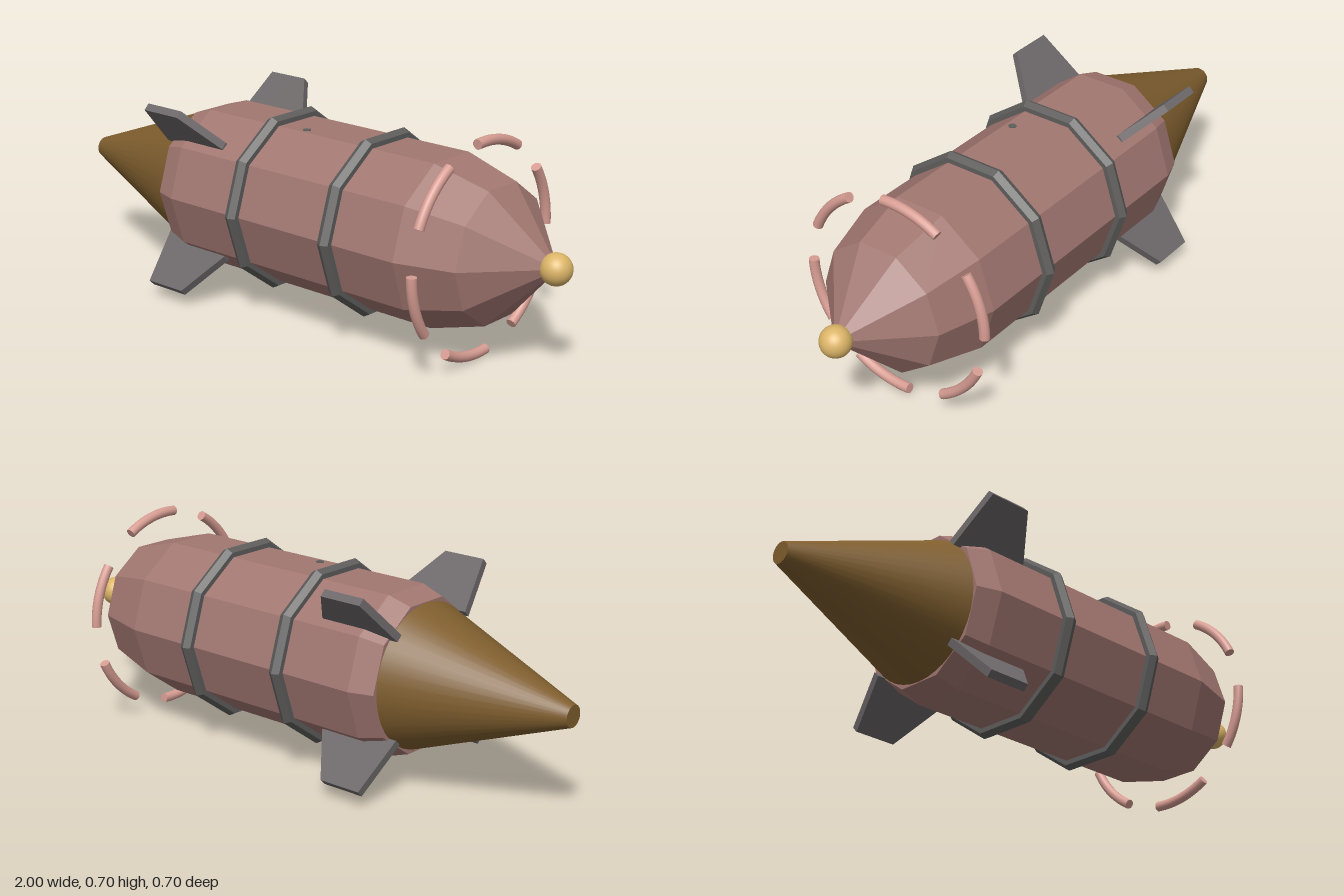
import * as THREE from 'three';
import { mergeGeometries } from 'three/addons/utils/BufferGeometryUtils.js';

const AXIS_Y = 0.355;
const mat = (name, color) => {
  const m = new THREE.MeshStandardMaterial({ color });
  m.name = name;
  return m;
};

// Profile of [x, radius] pairs turned about the x axis
function turned(profile, sides) {
  const pts = profile.map(([x, r]) => new THREE.Vector2(r, x));
  return new THREE.LatheGeometry(pts, sides).rotateZ(-Math.PI / 2);
}

// Separate faces so every facet is flat
function faceted(geo) {
  const g = geo.toNonIndexed();
  g.computeVertexNormals();
  return g;
}

export function createModel() {
  const rose = mat('hull rose', 0xa27771);
  const grey = mat('fin grey', 0x6c6768);
  const darkGrey = mat('band grey', 0x5f5e5d);
  const brown = mat('nozzle brown', 0x7f5e2e);
  const gold = mat('nose gold', 0xdcb568);
  const pink = mat('arc pink', 0xd69c92);

  const model = new THREE.Group();
  model.name = 'rocket';
  const add = (name, geo, material) => {
    const mesh = new THREE.Mesh(geo, material);
    mesh.name = name;
    mesh.position.y = AXIS_Y;
    model.add(mesh);
    return mesh;
  };

  // Ten-sided hull with tapered nose and chamfered tail
  add('hull', faceted(turned([
    [-0.455, 0], [-0.455, 0.25], [-0.375, 0.276], [0.56, 0.276], [0.75, 0.222], [0.957, 0],
  ], 10)), rose);

  // Tail cone, smooth along its side, with a flat end
  add('tailCone', turned([[-1, 0.035], [-0.45, 0.237]], 40), brown);
  add('tailConeEnd', turned([[-1, 0], [-1, 0.035]], 40), brown);

  // Nose ball
  add('noseBall', new THREE.SphereGeometry(0.05, 28, 20), gold).position.x = 0.95;

  // Two faceted bands round the hull
  for (const x of [-0.09, 0.3]) {
    const band = new THREE.TorusGeometry(0.28, 0.025, 6, 10).rotateY(Math.PI / 2);
    add('band', faceted(band), darkGrey).position.x = x;
  }

  // Four diagonal swept fins
  const outline = new THREE.Shape([
    [-0.485, 0.235], [-0.21, 0.235], [-0.21, 0.272], [-0.3, 0.428], [-0.45, 0.428],
  ].map(([x, r]) => new THREE.Vector2(x, r)));
  const finGeo = new THREE.ExtrudeGeometry(outline, { depth: 0.026, bevelEnabled: false })
    .translate(0, 0, -0.013);
  for (let i = 0; i < 4; i++) {
    add('fin', finGeo, grey).rotation.x = Math.PI / 4 + i * Math.PI / 2;
  }

  // Six capped arcs floating round the nose
  const R = 0.335, tube = 0.0165, sweep = Math.PI / 5;
  const startCap = new THREE.CircleGeometry(tube, 14).rotateX(Math.PI / 2).translate(R, 0, 0);
  const endCap = new THREE.CircleGeometry(tube, 14).rotateX(-Math.PI / 2).translate(R, 0, 0)
    .rotateZ(sweep);
  const arcGeo = mergeGeometries([
    new THREE.TorusGeometry(R, tube, 14, 16, sweep), startCap, endCap,
  ]);
  for (let i = 0; i < 6; i++) {
    const geo = arcGeo.clone().rotateZ(i * Math.PI / 3).rotateY(Math.PI / 2);
    add('noseArc', geo, pink).position.x = 0.68;
  }

  // Small stud on top of the hull
  const stud = add('stud', new THREE.CylinderGeometry(0.013, 0.013, 0.006, 16), darkGrey);
  stud.position.set(0.03, AXIS_Y + 0.262, 0.06);

  return model;
}
